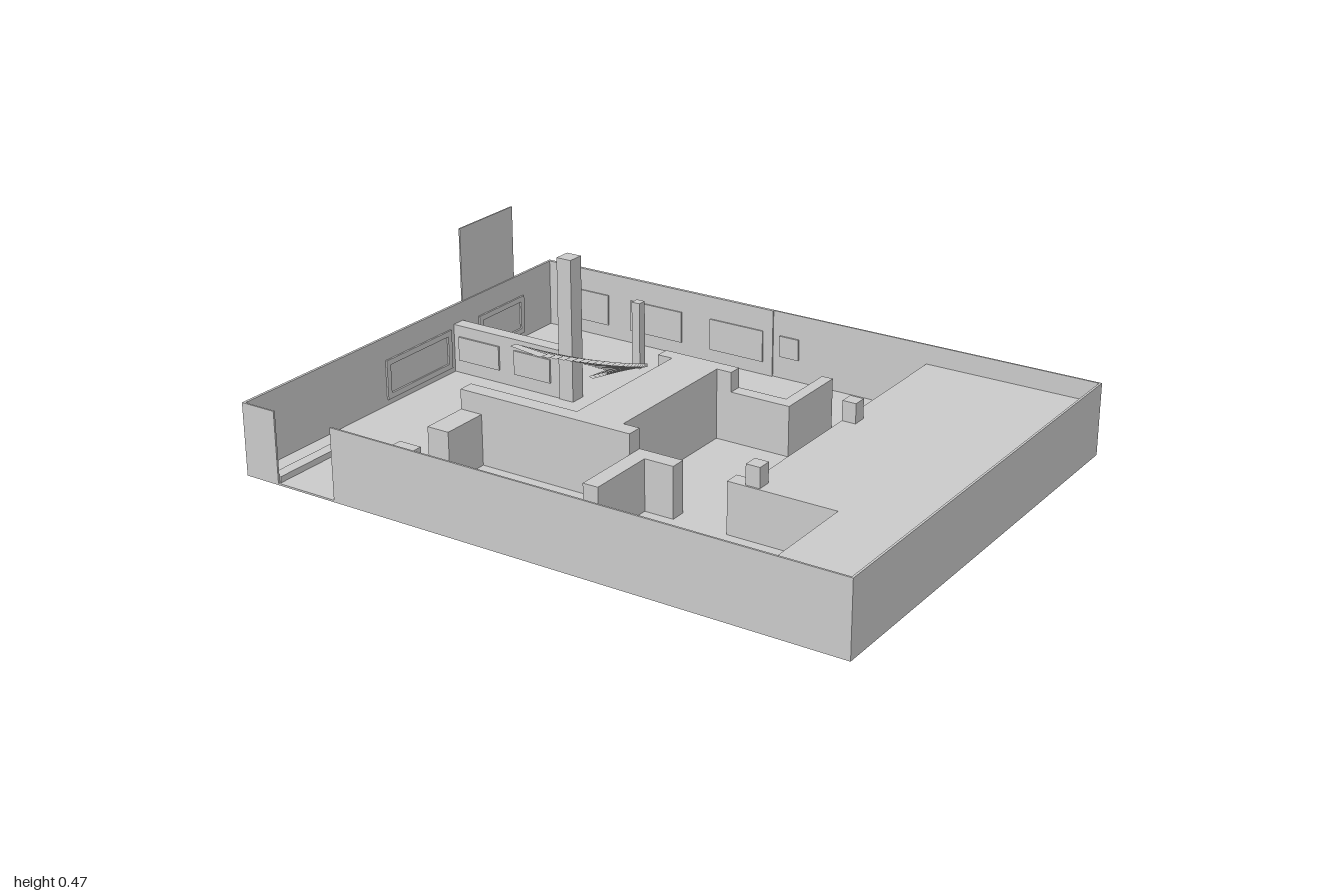
import * as THREE from 'three';

const mat = new THREE.MeshStandardMaterial({ color: 0xcccccc, flatShading: true, side: THREE.DoubleSide });
const FULL = 0.23, LOW = 0.167, FLOOR = 0.006;

// Box given by its extents on each axis
function block(parent, name, x0, x1, z0, z1, y1, y0 = 0) {
  const mesh = new THREE.Mesh(new THREE.BoxGeometry(x1 - x0, y1 - y0, z1 - z0), mat);
  mesh.position.set((x0 + x1) / 2, (y0 + y1) / 2, (z0 + z1) / 2);
  mesh.name = name;
  parent.add(mesh);
  return mesh;
}

// Rectangular frame with an opening, facing +z before it is turned
function frame(parent, name, w, h, border, x, y, z, turn = 0) {
  const rect = (P, a, b) => new P([[-a, -b], [a, -b], [a, b], [-a, b]].map(p => new THREE.Vector2(...p)));
  const shape = rect(THREE.Shape, w / 2, h / 2);
  shape.holes.push(rect(THREE.Path, w / 2 - border, h / 2 - border));
  const mesh = new THREE.Mesh(new THREE.ExtrudeGeometry(shape, { depth: 0.006, bevelEnabled: false }), mat);
  mesh.position.set(x, y, z);
  mesh.rotation.y = turn;
  mesh.name = name;
  parent.add(mesh);
}

// Curved flight of open, paper-thin treads between two edge curves
function staircase() {
  const group = new THREE.Group();
  group.name = 'curvedStaircase';
  const curve = pts => new THREE.CatmullRomCurve3(pts.map(([x, z]) => new THREE.Vector3(x, 0, z)));
  const outer = curve([[-0.575, -0.52], [-0.48, -0.49], [-0.38, -0.41], [-0.3, -0.28], [-0.245, -0.13], [-0.226, 0], [-0.235, 0.16], [-0.26, 0.305]]);
  const inner = curve([[-0.597, -0.4], [-0.51, -0.36], [-0.44, -0.28], [-0.39, -0.19], [-0.36, -0.09], [-0.349, 0], [-0.358, 0.14], [-0.383, 0.282]]);
  const steps = 32;
  for (let i = 0; i < steps; i++) {
    const y = 0.385 * (i + 1) / steps;
    const corners = [inner.getPointAt(i / steps), outer.getPointAt(i / steps),
      outer.getPointAt((i + 1) / steps), inner.getPointAt((i + 1) / steps)];
    const geo = new THREE.BufferGeometry();
    geo.setAttribute('position', new THREE.Float32BufferAttribute(corners.flatMap(p => [p.x, y, p.z]), 3));
    geo.setIndex([0, 2, 1, 0, 3, 2]);
    geo.computeVertexNormals();
    const tread = new THREE.Mesh(geo, mat);
    tread.name = 'tread';
    group.add(tread);
  }
  return group;
}

export function createModel() {
  const model = new THREE.Group();
  model.name = 'houseFloor';

  // Ground and thin outer walls, with a doorway at the front
  block(model, 'floor', -1, 1, -0.745, 0.743, FLOOR);
  const outerWalls = new THREE.Group();
  outerWalls.name = 'outerWalls';
  model.add(outerWalls);
  block(outerWalls, 'backWallThick', -1, -0.115, -0.745, -0.734, FULL);
  block(outerWalls, 'backWallThin', -0.115, 1, -0.745, -0.739, FULL);
  block(outerWalls, 'rightWall', -1, -0.991, -0.745, 0.743, FULL);
  block(outerWalls, 'leftWall', 0.993, 1, -0.745, 0.743, FULL);
  block(outerWalls, 'frontWallCorner', -1, -0.88, 0.737, 0.743, FULL);
  block(outerWalls, 'frontWall', -0.67, 1, 0.737, 0.743, FULL);
  block(outerWalls, 'tallPanel', -1, -0.995, -0.54, -0.267, 0.473);

  // Solid raised area on the left side
  const raised = new THREE.Group();
  raised.name = 'raisedArea';
  model.add(raised);
  block(raised, 'mainBlock', 0.43, 0.993, -0.739, 0.32, LOW);
  block(raised, 'frontBlock', 0.72, 0.993, 0.32, 0.737, LOW);
  block(raised, 'wallStub', 0.375, 0.43, 0.27, 0.32, LOW);
  for (const z of [-0.26, 0.268]) block(raised, 'postStump', 0.43, 0.475, z, z + 0.046, FULL, LOW);

  // Full-height core in the middle
  const core = new THREE.Group();
  core.name = 'centralCore';
  model.add(core);
  block(core, 'coreBlock', -0.16, 0, -0.22, 0.27, FULL);
  block(core, 'coreBackWall', -0.21, 0.05, -0.265, -0.22, FULL);
  block(core, 'coreFrontWall', -0.54, 0.055, 0.27, 0.32, FULL);

  // Lower partitions
  const partitions = new THREE.Group();
  partitions.name = 'partitions';
  model.add(partitions);
  for (const [x0, x1, z0, z1] of [
    [-0.991, -0.525, -0.26, -0.214],
    [0.05, 0.25, -0.265, -0.22], [0.213, 0.25, -0.478, -0.265],
    [0.055, 0.2, 0.27, 0.32], [0.055, 0.105, 0.32, 0.545], [0.055, 0.105, 0.672, 0.737],
    [-0.54, -0.465, 0.32, 0.475], [-0.54, -0.465, 0.597, 0.737],
  ]) block(partitions, 'partition', x0, x1, z0, z1, LOW);

  // Columns and the low kerb by the doorway
  block(model, 'tallColumn', -0.575, -0.523, -0.265, -0.21, 0.473);
  block(model, 'slimColumn', -0.535, -0.505, -0.585, -0.555, FULL);
  block(model, 'doorwayKerb', -0.912, -0.875, 0.457, 0.737, 0.025);

  model.add(staircase());

  // Wall panels and window frames
  const panels = new THREE.Group();
  panels.name = 'wallPanels';
  model.add(panels);
  for (const [x0, x1] of [[-0.89, -0.75], [-0.66, -0.46], [-0.35, -0.15]])
    block(panels, 'backPanel', x0, x1, -0.734, -0.729, 0.155, 0.05);
  block(panels, 'smallBackPanel', -0.09, -0.02, -0.739, -0.733, 0.15, 0.08);
  for (const [x0, x1] of [[-0.97, -0.81], [-0.75, -0.61]]) {
    block(panels, 'partitionPanel', x0, x1, -0.214, -0.208, 0.13, 0.05);
    block(panels, 'partitionPanel', x0, x1, -0.266, -0.26, 0.13, 0.05);
  }
  for (const [z, w] of [[-0.46, 0.24], [-0.035, 0.32]])
    frame(panels, 'windowFrame', w, 0.13, 0.018, -0.991, 0.09, z, Math.PI / 2);

  // Pictures and small leaning boards in the nook behind the core
  for (const [x, y, w, h] of [[-0.15, 0.14, 0.06, 0.05], [-0.04, 0.1, 0.05, 0.06], [0.05, 0.13, 0.07, 0.04], [0.14, 0.09, 0.05, 0.05]])
    block(panels, 'picture', x - w / 2, x + w / 2, -0.271, -0.265, y + h / 2, y - h / 2);
  frame(panels, 'nookFrame', 0.13, 0.1, 0.02, 0.213, 0.09, -0.39, -Math.PI / 2);
  block(panels, 'hangingBoard', 0.045, 0.105, -0.342, -0.336, 0.12, 0.07);
  block(panels, 'shelf', 0.03, 0.09, -0.295, -0.265, 0.07, 0.06);
  block(panels, 'turnedBoard', 0.142, 0.202, -0.32, -0.3, 0.13, 0.08).rotation.y = 0.75;

  return model;
}
